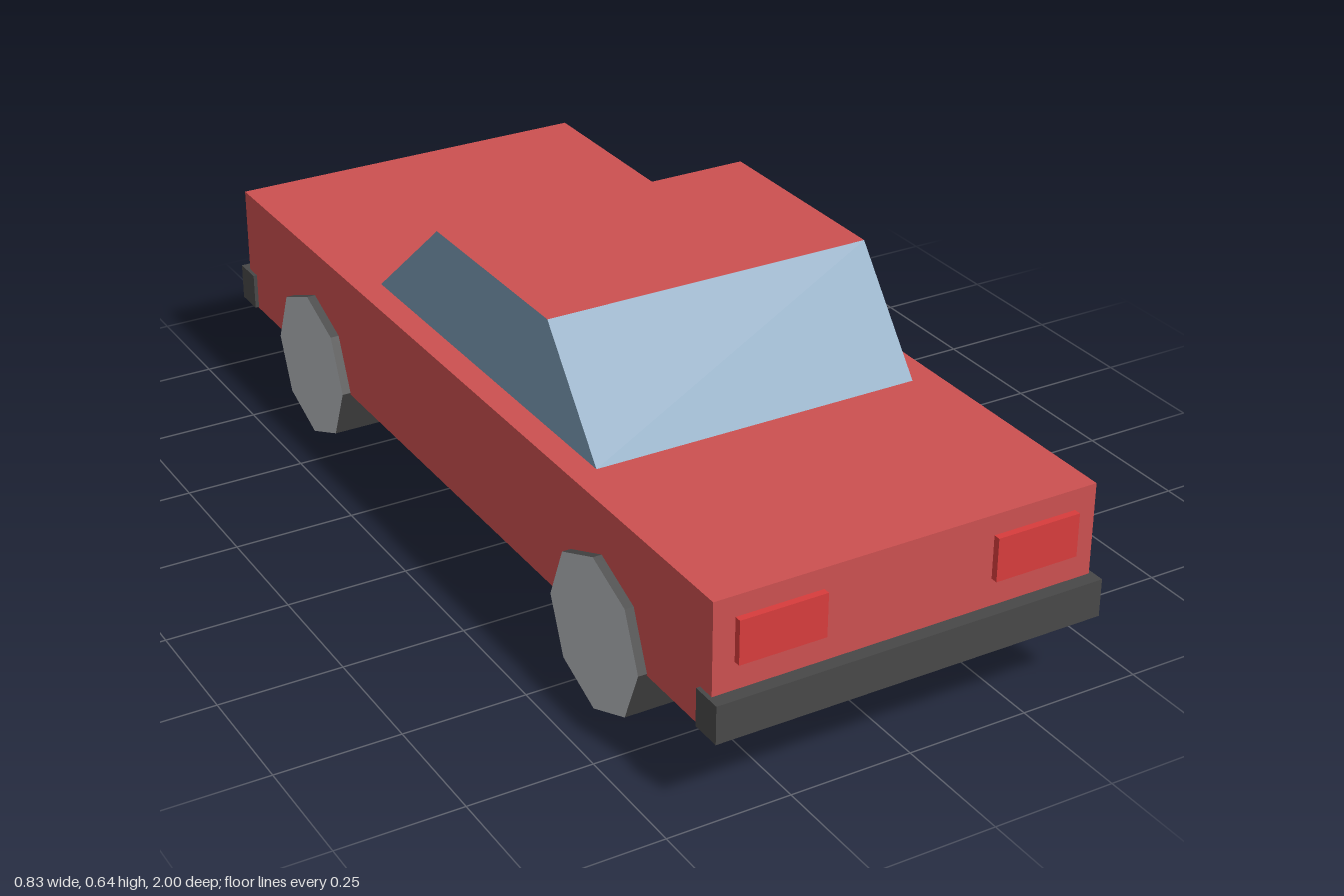
import * as THREE from 'three';

const paint = (color) => new THREE.MeshStandardMaterial({ color, flatShading: true });

export function createModel() {
  const car = new THREE.Group();
  car.name = 'car';

  const red = paint(0xcc5050);
  const glass = paint(0x7b9bb5);
  const dark = paint(0x484848);
  const hub = paint(0xb4b7ba);
  const tailRed = paint(0xd83c3c);
  const lampWhite = paint(0xd8d8cc);

  const add = (name, geometry, material, x, y, z) => {
    const mesh = new THREE.Mesh(geometry, material);
    mesh.name = name;
    mesh.position.set(x, y, z);
    car.add(mesh);
    return mesh;
  };

  // Lower body
  add('body', new THREE.BoxGeometry(0.794, 0.265, 1.944), red, 0, 0.2875, 0);

  // Cabin: a box tapered along z, with a painted roof and glass on the other faces
  const cabin = new THREE.BoxGeometry(0.686, 0.222, 1);
  const p = cabin.attributes.position;
  for (let i = 0; i < p.count; i++) {
    const top = p.getY(i) > 0;
    const front = p.getZ(i) > 0;
    p.setZ(i, front ? (top ? 0.31 : 0.487) : (top ? -0.133 : -0.4));
  }
  cabin.computeVertexNormals();
  add('cabin', cabin, [glass, glass, red, glass, glass, glass], 0, 0.531, 0);

  // Bumpers and lamps at both ends
  for (const end of [1, -1]) {
    const label = end > 0 ? 'front' : 'back';
    add(label + 'Bumper', new THREE.BoxGeometry(0.81, 0.077, 0.065), dark, 0, 0.1955, end * 0.9675);
    for (const side of [1, -1]) {
      const name = label + (side > 0 ? 'Left' : 'Right') + 'Lamp';
      add(name, new THREE.BoxGeometry(0.176, 0.088, 0.03), end > 0 ? tailRed : lampWhite,
        side * 0.265, 0.334, end * 0.971);
    }
  }

  // Eight-sided wheels with pale hub faces
  const wheel = new THREE.CylinderGeometry(0.159, 0.159, 0.114, 8);
  wheel.rotateZ(Math.PI / 2);
  for (const z of [0.6, -0.617]) {
    for (const side of [1, -1]) {
      const name = (z > 0 ? 'front' : 'back') + (side > 0 ? 'Left' : 'Right') + 'Wheel';
      add(name, wheel, [dark, hub, hub], side * 0.358, 0.159, z);
    }
  }

  return car;
}
